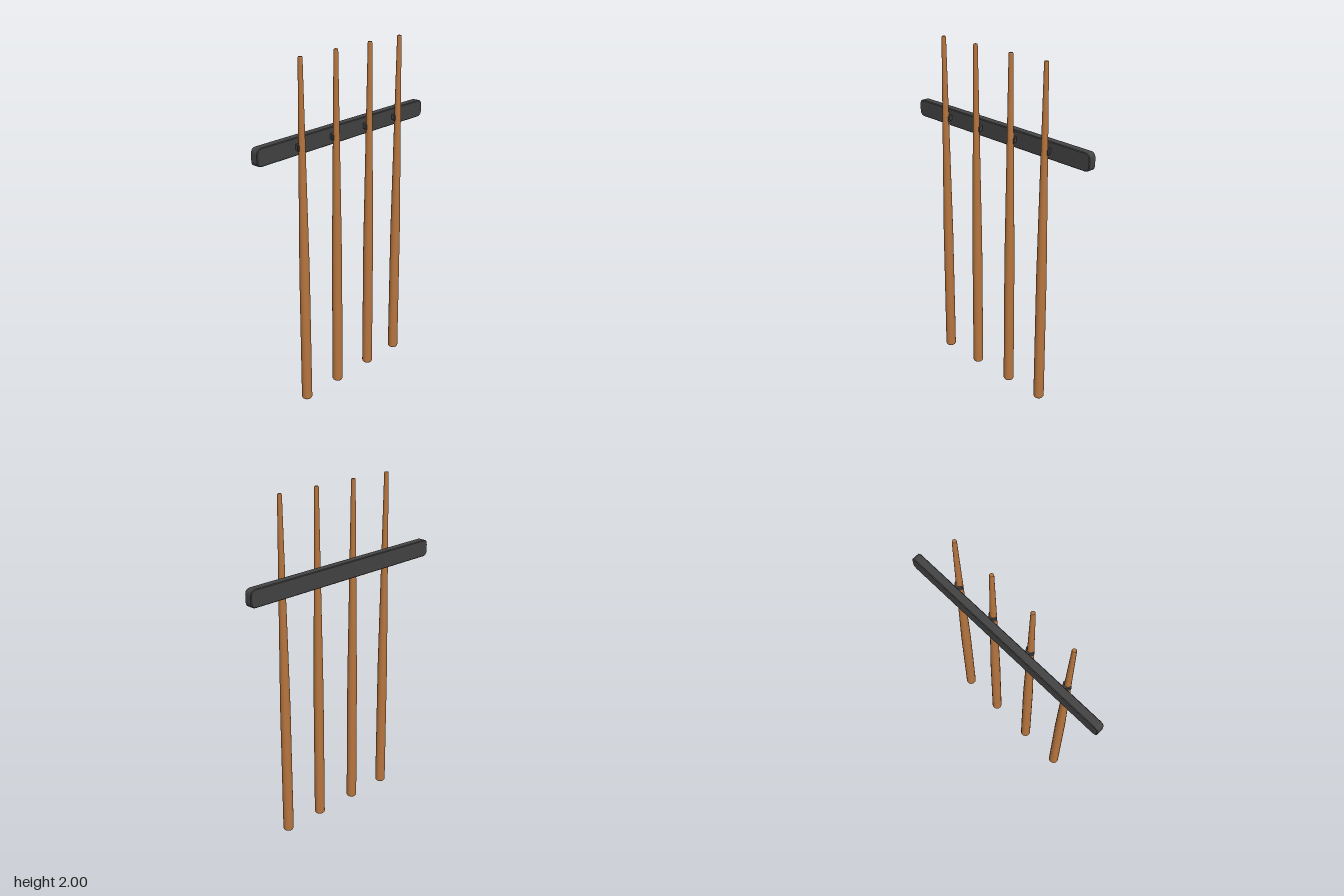
import * as THREE from 'three';

const wood = new THREE.MeshStandardMaterial({ color: 0xb8763f });
wood.name = 'wood';
const darkPlastic = new THREE.MeshStandardMaterial({ color: 0x444444 });
darkPlastic.name = 'darkPlastic';

const CUE_X = 0.026;
const CUE_Z = [-0.4, -0.145, 0.13, 0.395];
const CLIP_Y = 1.522;

// Wall bar: rounded-end outline in the z-y plane, extruded through x
function barGeometry() {
  const bevel = 0.004, w = 0.677 - bevel, h = 0.05 - bevel, r = 0.028;
  const s = new THREE.Shape();
  s.moveTo(-w + r, -h);
  s.lineTo(w - r, -h);
  s.quadraticCurveTo(w, -h, w, -h + r);
  s.lineTo(w, h - r);
  s.quadraticCurveTo(w, h, w - r, h);
  s.lineTo(-w + r, h);
  s.quadraticCurveTo(-w, h, -w, h - r);
  s.lineTo(-w, -h + r);
  s.quadraticCurveTo(-w, -h, -w + r, -h);
  return new THREE.ExtrudeGeometry(s, {
    depth: 0.049 - 2 * bevel, bevelSize: bevel, bevelThickness: bevel,
    bevelSegments: 1, curveSegments: 5,
  }).rotateY(Math.PI / 2).translate(-0.059 + bevel, 1.522, 0);
}

// Clip: half ring gripping the cue, with a short stem into the bar
function clipGeometry() {
  const outer = 0.026, inner = 0.019, stem = 0.012;
  const s = new THREE.Shape();
  s.moveTo(0, inner);
  s.lineTo(0, outer);
  s.absarc(0, 0, outer, Math.PI / 2, Math.PI * 0.84, false);
  s.lineTo(-0.04, stem);
  s.lineTo(-0.04, -stem);
  s.absarc(0, 0, outer, Math.PI * 1.16, Math.PI * 1.5, false);
  s.lineTo(0, -inner);
  s.absarc(0, 0, inner, Math.PI * 1.5, Math.PI / 2, true);
  return new THREE.ExtrudeGeometry(s, { depth: 0.03, bevelEnabled: false, curveSegments: 8 })
    .rotateX(-Math.PI / 2).translate(0, -0.015, 0);
}

// Cue: thick butt, long taper, tiny chamfers at both ends
function cueGeometry() {
  const profile = [
    [0, 0], [0.026, 0], [0.026, 0], [0.0305, 0.008], [0.0305, 0.008], [0.029, 0.8],
    [0.0125, 1.994], [0.0125, 1.994], [0.0105, 2], [0.0105, 2], [0, 2],
  ];
  return new THREE.LatheGeometry(profile.map(([r, y]) => new THREE.Vector2(r, y)), 20);
}

export function createModel() {
  const model = new THREE.Group();
  model.name = 'cueRack';

  const add = (name, geometry, material, x = 0, y = 0, z = 0) => {
    const mesh = new THREE.Mesh(geometry, material);
    mesh.name = name;
    mesh.position.set(x, y, z);
    model.add(mesh);
  };

  add('wallBar', barGeometry(), darkPlastic);

  const cue = cueGeometry(), clip = clipGeometry();
  CUE_Z.forEach((z, i) => {
    add(`cue${i + 1}`, cue, wood, CUE_X, 0, z);
    add(`clip${i + 1}`, clip, darkPlastic, CUE_X, CLIP_Y, z);
  });
  return model;
}
